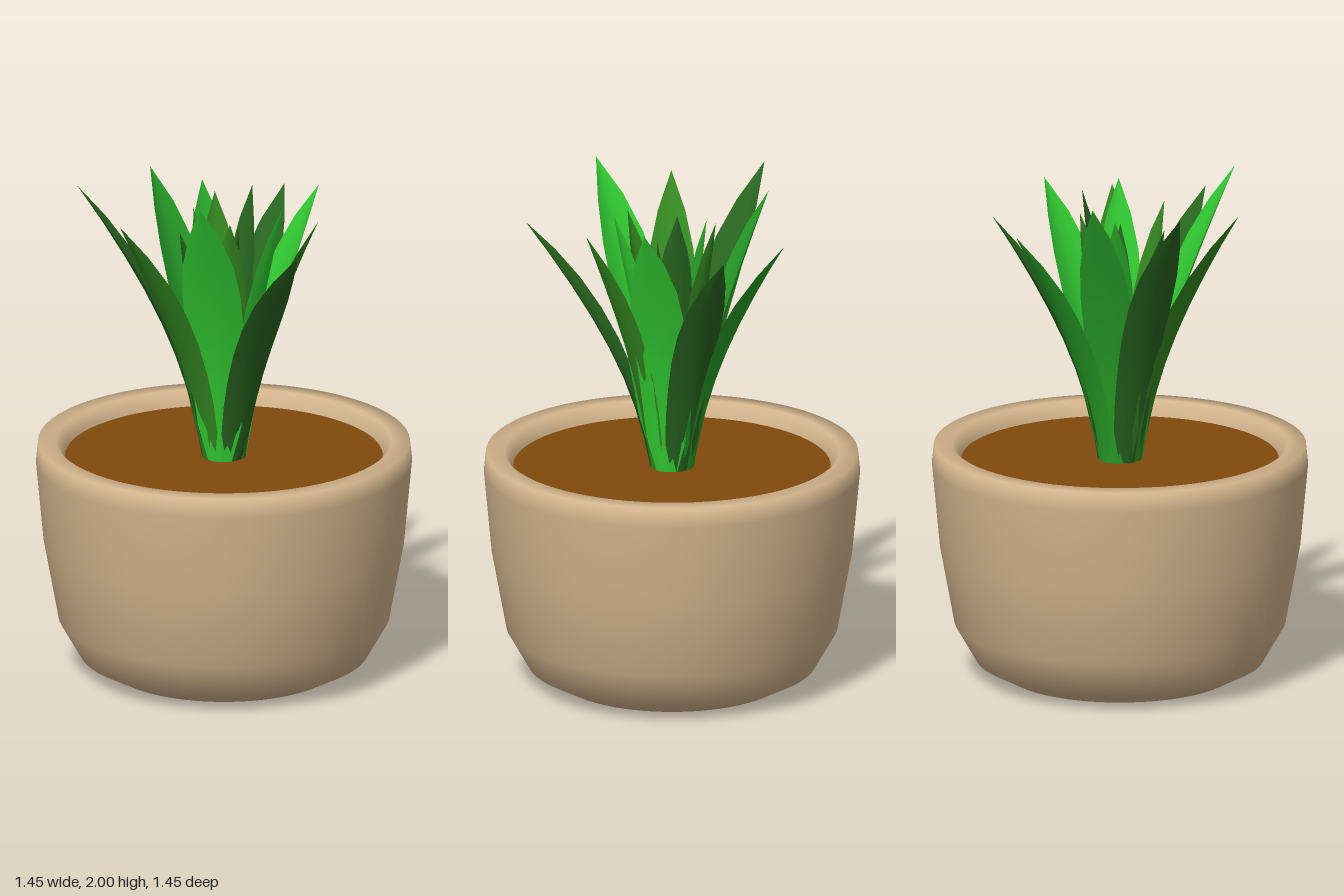
import * as THREE from 'three';

const SOIL_Y = 0.86;
const BRIGHT = 0x32cd32, GREEN = 0x28a028, OLIVE = 0x358a22, DARK = 0x28661f;

// Half-width of a leaf along its length, as a share of its widest point
const WIDTHS = [0.4, 0.74, 0.84, 0.92, 0.99, 1.0, 0.88, 0.55, 0];

// Leaf: a plane bent outward, tapered to a point and folded into a shallow channel
function leafGeometry(x, z, tipY, half, baseR) {
  const rows = WIDTHS.length - 1;
  const geo = new THREE.PlaneGeometry(2, 1, 4, rows);
  const p = geo.attributes.position;
  const reach = Math.hypot(x, z);
  const dx = x / reach, dz = z / reach;
  for (let i = 0; i < p.count; i++) {
    const s = p.getX(i);
    const t = p.getY(i) + 0.5;
    const w = half * WIDTHS[Math.round(t * rows)];
    const r = baseR + (reach - baseR) * (0.25 * t + 0.75 * t * t) - 0.3 * w * (s * s - 0.5);
    p.setXYZ(i, dx * r + dz * s * w, SOIL_Y + (tipY - SOIL_Y) * t, dz * r - dx * s * w);
  }
  geo.computeVertexNormals();
  return geo;
}

export function createModel() {
  const model = new THREE.Group();
  const add = (name, geo, color, parent = model, side = THREE.FrontSide) => {
    const mesh = new THREE.Mesh(geo, new THREE.MeshStandardMaterial({ color, side }));
    mesh.name = name;
    parent.add(mesh);
    return mesh;
  };

  // Pot: rounded foot, flaring wall, rim and inner lip
  const profile = [
    [0, 0], [0.44, 0.004], [0.555, 0.065], [0.638, 0.21], [0.695, 0.52],
    [0.725, 0.84], [0.717, 0.918], [0.645, 0.918], [0.615, 0.87], [0.6, 0.8],
  ].map(([r, y]) => new THREE.Vector2(r, y));
  add('pot', new THREE.LatheGeometry(profile, 64), 0xd2b48c);

  // Soil disc
  const soil = new THREE.CircleGeometry(0.612, 64).rotateX(-Math.PI / 2);
  add('soil', soil, 0x80490c).position.y = SOIL_Y;

  // Leaves: tip x, tip z, tip height, half width, base radius, color
  const leaves = [
    [0.02, -0.49, 1.82, 0.09, 0.08, GREEN],
    [0.32, -0.375, 1.82, 0.09, 0.08, DARK],
    [0.39, -0.07, 1.91, 0.105, 0.08, BRIGHT],
    [0.325, 0.21, 1.85, 0.085, 0.08, OLIVE],
    [0.17, 0.545, 1.82, 0.085, 0.08, DARK],
    [-0.185, 0.415, 2.0, 0.115, 0.08, BRIGHT],
    [-0.46, 0.225, 1.89, 0.095, 0.08, OLIVE],
    [-0.55, -0.13, 1.95, 0.09, 0.08, DARK],
    [-0.225, -0.305, 1.95, 0.1, 0.08, GREEN],
    [0.205, 0.15, 1.91, 0.085, 0.06, BRIGHT],
    [-0.02, 0.2, 1.86, 0.075, 0.05, OLIVE],
    [-0.19, 0.07, 1.8, 0.08, 0.05, DARK],
    [0.005, -0.19, 1.87, 0.08, 0.05, OLIVE],
    [0.13, -0.085, 1.92, 0.07, 0.04, DARK],
    [-0.1, -0.1, 1.84, 0.065, 0.03, GREEN],
    [0.05, 0.04, 1.78, 0.05, 0.02, DARK],
  ];
  const plant = new THREE.Group();
  plant.name = 'leaves';
  model.add(plant);
  leaves.forEach(([x, z, y, half, baseR, color], i) =>
    add(`leaf${i + 1}`, leafGeometry(x, z, y, half, baseR), color, plant, THREE.DoubleSide));

  return model;
}
